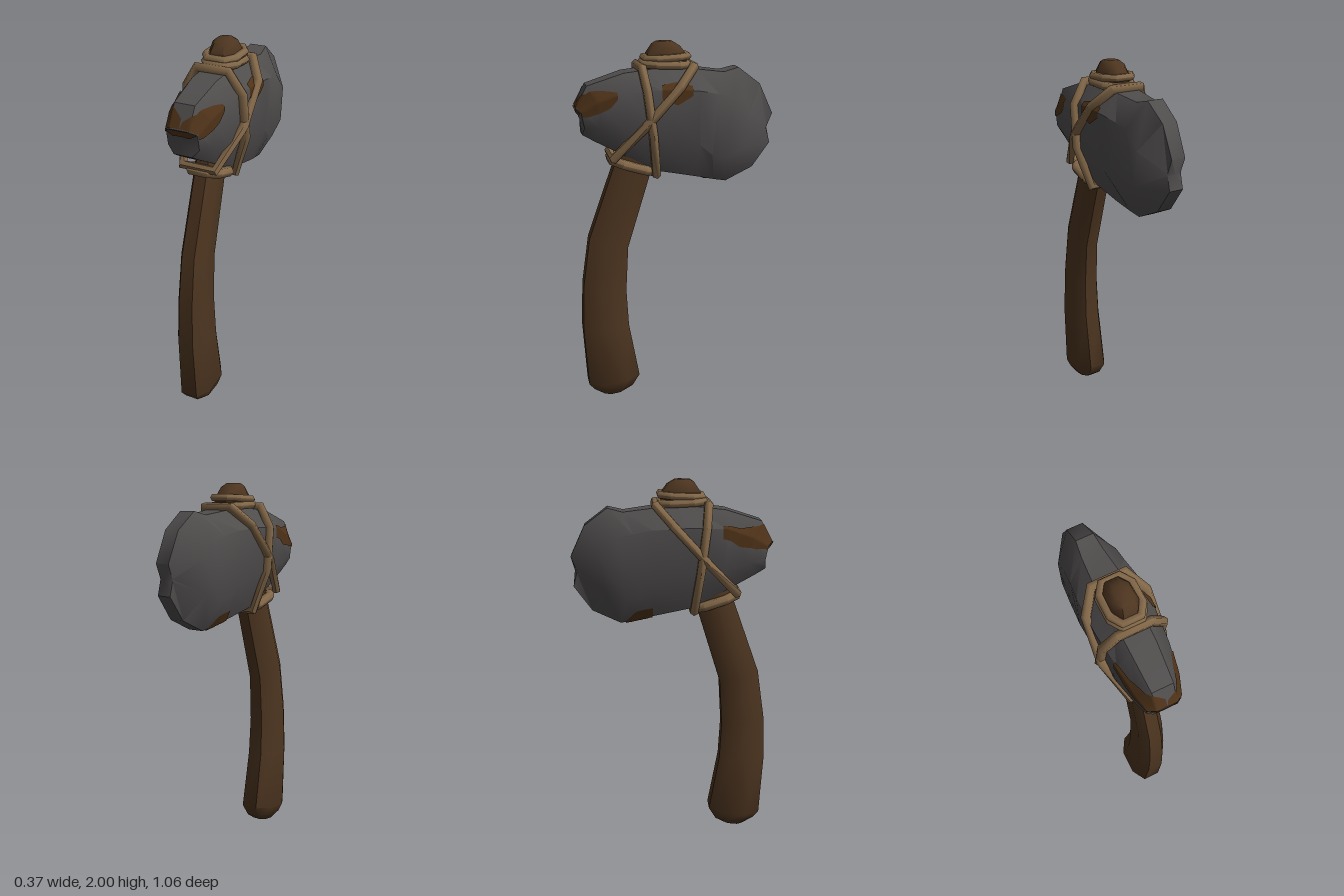
import * as THREE from 'three';
import { toCreasedNormals } from 'three/addons/utils/BufferGeometryUtils.js';

const V = (x, y, z) => new THREE.Vector3(x, y, z);
const lerp = THREE.MathUtils.lerp;

// Skin a list of equal-length rings; either capped at both ends or joined into a loop.
function loft(rings, crease, looped = false) {
  const n = rings[0].length, m = rings.length;
  const pts = rings.flat();
  const tris = [];
  for (let i = 0; i < (looped ? m : m - 1); i++) {
    for (let j = 0; j < n; j++) {
      const k = (j + 1) % n, a = i * n, b = ((i + 1) % m) * n;
      tris.push(a + j, b + j, b + k, a + j, b + k, a + k);
    }
  }
  if (!looped) {
    for (const [r, flip] of [[0, false], [m - 1, true]]) {
      const mid = V(0, 0, 0);
      rings[r].forEach((p) => mid.addScaledVector(p, 1 / n));
      const c = pts.push(mid) - 1;
      for (let j = 0; j < n; j++) {
        const a = r * n + j, b = r * n + ((j + 1) % n);
        if (flip) tris.push(c, b, a); else tris.push(c, a, b);
      }
    }
  }
  // Turn the faces outward if the enclosed volume is negative
  let vol = 0;
  for (let i = 0; i < tris.length; i += 3) {
    vol += pts[tris[i]].dot(V(0, 0, 0).crossVectors(pts[tris[i + 1]], pts[tris[i + 2]]));
  }
  if (vol < 0) tris.reverse();
  const geo = new THREE.BufferGeometry().setFromPoints(pts);
  geo.setIndex(tris);
  return toCreasedNormals(geo, crease);
}

// Handle rings: front z, y, back z, y, half width
const HANDLE = [
  [0.42, 0.005, 0.3, 0.02, 0.045], [0.48, 0.05, 0.26, 0.05, 0.075],
  [0.51, 0.09, 0.22, 0.12, 0.095], [0.53, 0.44, 0.275, 0.44, 0.086],
  [0.52, 0.69, 0.285, 0.65, 0.078], [0.48, 0.96, 0.27, 0.9, 0.071],
  [0.33, 1.38, 0.14, 1.32, 0.066], [0.155, 1.88, -0.05, 1.88, 0.068],
  [0.15, 1.94, -0.06, 1.92, 0.07], [0.12, 1.985, -0.02, 1.975, 0.055],
  [0.1, 1.998, 0.02, 2.0, 0.035],
];
function handleRing([fz, fy, bz, by, w]) {
  const at = (x, t) => V(x * w, lerp(fy, by, t), lerp(fz, bz, t));
  return [at(0.5, 0), at(1, 0.27), at(1, 0.73), at(0.5, 1),
    at(-0.5, 1), at(-1, 0.73), at(-1, 0.27), at(-0.5, 0)];
}

// Head stations from poll to blade: ridge half width, side half width,
// then z, y of the top, upper side, lower side and bottom corners
const HEAD = [
  [0.05, 0.085, 0.53, 1.68, 0.505, 1.66, 0.49, 1.58, 0.5, 1.54],
  [0.055, 0.112, 0.47, 1.79, 0.42, 1.71, 0.41, 1.58, 0.44, 1.505],
  [0.065, 0.135, 0.28, 1.85, 0.28, 1.76, 0.28, 1.55, 0.28, 1.42],
  [0.068, 0.153, 0.1, 1.87, 0.1, 1.77, 0.1, 1.53, 0.1, 1.33],
  [0.068, 0.155, -0.1, 1.86, -0.1, 1.76, -0.1, 1.48, -0.1, 1.29],
  [0.055, 0.143, -0.25, 1.84, -0.2, 1.74, -0.17, 1.42, -0.2, 1.265],
  [0.045, 0.138, -0.33, 1.86, -0.28, 1.72, -0.24, 1.4, -0.27, 1.25],
  [0.042, 0.135, -0.45, 1.77, -0.37, 1.63, -0.35, 1.45, -0.42, 1.32],
  [0.04, 0.04, -0.525, 1.61, -0.495, 1.535, -0.495, 1.525, -0.515, 1.45],
];
const headRings = HEAD.map(([c, w, tz, ty, uz, uy, lz, ly, bz, by]) => {
  const half = [V(c, ty, tz), V(w, uy, uz), V(w, ly, lz), V(c, by, bz)];
  return [...half, ...half.map((p) => V(-p.x, p.y, p.z)).reverse()];
});

// Point just above the head: s runs along the stations, u around the ring
function headPoint(s, u, lift = 0.006) {
  const i = Math.min(Math.floor(s), HEAD.length - 2);
  const j = Math.floor(u), mid = V(0, 0, 0);
  const on = (ring) => ring[(j + 8) % 8].clone().lerp(ring[(j + 9) % 8], u - j);
  headRings[i].forEach((p, k) => mid.addScaledVector(p.clone().lerp(headRings[i + 1][k], s - i), 1 / 8));
  const p = on(headRings[i]).lerp(on(headRings[i + 1]), s - i);
  const out = p.clone().sub(mid).setZ(0).normalize();
  return p.addScaledVector(out, lift);
}

// Grid sheet from a function of two 0..1 parameters
function sheet(fn, nu, nv) {
  const pts = [], tris = [];
  for (let i = 0; i <= nu; i++) for (let j = 0; j <= nv; j++) pts.push(fn(i / nu, j / nv));
  for (let i = 0; i < nu; i++) {
    for (let j = 0; j < nv; j++) {
      const a = i * (nv + 1) + j, b = a + nv + 1;
      tris.push(a, b, b + 1, a, b + 1, a + 1);
    }
  }
  const geo = new THREE.BufferGeometry().setFromPoints(pts);
  geo.setIndex(tris);
  geo.computeVertexNormals();
  return geo;
}

// Stain on the head; outline rows are [s, u start, u end]
function stain(rows) {
  return sheet((a, b) => {
    const f = a * (rows.length - 1), i = Math.min(Math.floor(f), rows.length - 2);
    const [s, u0, u1] = rows[i].map((v, k) => lerp(v, rows[i + 1][k], f - i));
    return headPoint(s, lerp(u0, u1, b));
  }, 24, 20);
}

// Closed six-sided cord with mitred corners, through points lying in one plane
function cord(points, normal, radius) {
  const n = points.length;
  const rings = points.map((p, i) => {
    const d0 = p.clone().sub(points[(i + n - 1) % n]).normalize();
    const d1 = points[(i + 1) % n].clone().sub(p).normalize();
    const out = d0.add(d1).normalize().cross(normal);
    return Array.from({ length: 6 }, (_, k) => {
      const a = (k / 6) * Math.PI * 2;
      return p.clone().addScaledVector(out, Math.cos(a) * radius * 1.08)
        .addScaledVector(normal, Math.sin(a) * radius);
    });
  });
  return loft(rings, 1.1, true);
}

// Cord loop spanning a line in the side plane; profile rows are [half width, t along the line]
function loopCord([z0, y0], [z1, y1], profile, radius) {
  const half = profile.map(([x, t]) => V(x, lerp(y0, y1, t), lerp(z0, z1, t)));
  const pts = [...half, ...half.map((p) => V(-p.x, p.y, p.z)).reverse()];
  return cord(pts, V(0, -(z1 - z0), y1 - y0).normalize(), radius);
}

export function createModel() {
  const wood = new THREE.MeshStandardMaterial({ color: 0x4d3520 });
  const stone = new THREE.MeshStandardMaterial({ color: 0x504d4d });
  const rope = new THREE.MeshStandardMaterial({ color: 0x826748 });
  const dirt = new THREE.MeshStandardMaterial({ color: 0x4e3218, side: THREE.DoubleSide });
  wood.name = 'wood';
  stone.name = 'stone';
  rope.name = 'rope';
  dirt.name = 'dirt';

  const model = new THREE.Group();
  model.name = 'stoneAxe';
  const add = (name, geo, mat) => {
    const mesh = new THREE.Mesh(geo, mat);
    mesh.name = name;
    model.add(mesh);
  };

  add('handle', loft(HANDLE.map(handleRing), 0.9), wood);
  add('axeHead', loft(headRings, 0.68), stone);

  // Stains wrapping the poll, the underside and the left shoulder
  add('rightPollStain', stain([[0, 5.8, 7.5], [0.4, 5.7, 7.5], [0.75, 5.6, 7.1], [1, 5.6, 6.65],
    [1.5, 5.6, 6.25], [1.8, 5.72, 6.2], [2.1, 5.75, 6.1]]), dirt);
  add('leftPollStain', stain([[0, -0.5, 1.3], [0.3, -0.4, 1.4], [0.7, 0.2, 1.4], [1, 0.35, 1.4],
    [1.4, 0.6, 1.3], [1.7, 0.85, 1.1]]), dirt);
  add('pollFaceStain', sheet((a, b) => {
    const mid = V(0, 1.615, 0.506);
    return headPoint(0, 6 + a * 3, 0).lerp(mid, b * 0.5).add(V(0, 0, 0.006));
  }, 12, 3), dirt);
  add('undersideStain', stain([[4, 3.4, 4.3], [4.5, 3.1, 4.35], [5, 3.3, 4.4], [5.6, 3.6, 4.1]]), dirt);
  add('leftShoulderStain', stain([[3, 0.8, 1.2], [3.4, 0.65, 1.3], [3.8, 0.8, 1.1]]), dirt);

  // Crossed lashing around the head
  const wrap = [[0.085, 0], [0.155, 0.2], [0.16, 0.6], [0.09, 1]];
  add('uprightLashing', loopCord([0.19, 1.875], [0.12, 1.32], wrap, 0.025), rope);
  add('slantedLashing', loopCord([-0.08, 1.875], [0.345, 1.415], wrap, 0.025), rope);

  // Collars around the handle above and below the head
  const collar = [[0.045, 0], [0.08, 0.25], [0.08, 0.75], [0.045, 1]];
  add('upperCollar', loopCord([0.16, 1.915], [-0.055, 1.925], collar, 0.02), rope);
  add('middleCollar', loopCord([0.17, 1.89], [-0.06, 1.88], collar, 0.022), rope);
  add('lowerCollar', loopCord([0.345, 1.395], [0.125, 1.325], collar, 0.027), rope);

  return model;
}
